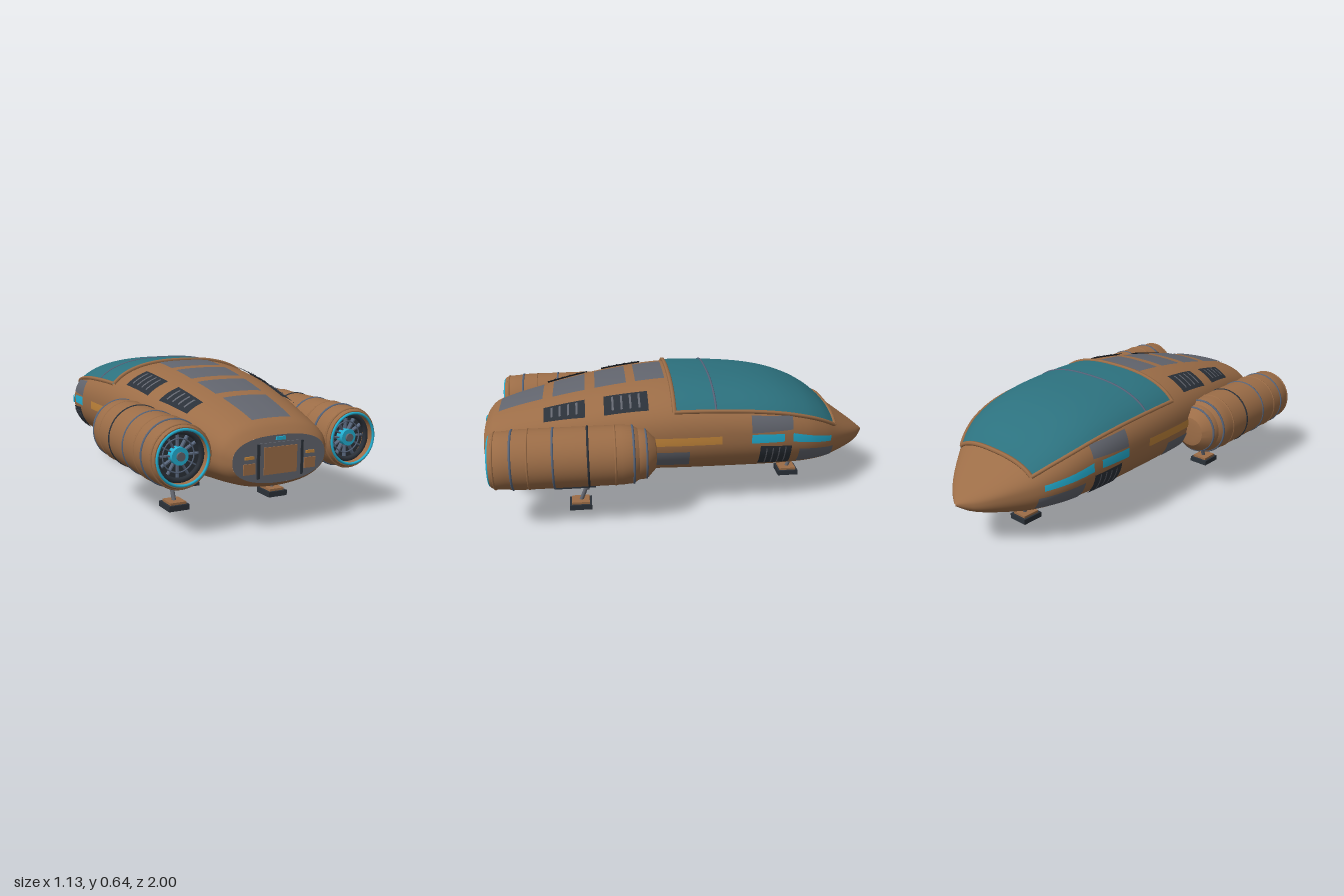
import * as THREE from 'three';
import { toCreasedNormals } from 'three/addons/utils/BufferGeometryUtils.js';

const flat = (name, color, side = THREE.FrontSide) => {
  const m = new THREE.MeshStandardMaterial({ color, side });
  m.name = name;
  return m;
};

// Hull stations: z, half width, height of widest line, top, bottom
const STATIONS = [
  [-1, 0.004, 0.24, 0.245, 0.235], [-0.95, 0.085, 0.25, 0.285, 0.2], [-0.88, 0.165, 0.275, 0.335, 0.175],
  [-0.77, 0.265, 0.305, 0.415, 0.15], [-0.7, 0.315, 0.325, 0.475, 0.14], [-0.6, 0.362, 0.35, 0.532, 0.136],
  [-0.45, 0.395, 0.375, 0.582, 0.135], [-0.25, 0.41, 0.39, 0.612, 0.137], [0.05, 0.411, 0.395, 0.626, 0.14],
  [0.3, 0.39, 0.385, 0.605, 0.145], [0.55, 0.35, 0.365, 0.562, 0.15], [0.8, 0.295, 0.335, 0.503, 0.163],
  [0.92, 0.27, 0.32, 0.465, 0.177], [0.96, 0.255, 0.315, 0.445, 0.187], [0.99, 0.226, 0.31, 0.41, 0.208],
];
const N_TOP = 2.5, N_BOT = 2.25;

// Smooth interpolation of the stations
function section(z) {
  const S = STATIONS, last = S.length - 1;
  let i = 0;
  while (i < last - 1 && z > S[i + 1][0]) i++;
  const slope = (k, c) => {
    const a = S[Math.max(k - 1, 0)], b = S[Math.min(k + 1, last)];
    return (b[c] - a[c]) / (b[0] - a[0]);
  };
  const d = S[i + 1][0] - S[i][0], t = (z - S[i][0]) / d, t2 = t * t, t3 = t2 * t;
  const [w, m, top, bot] = [1, 2, 3, 4].map((c) =>
    S[i][c] * (2 * t3 - 3 * t2 + 1) + slope(i, c) * d * (t3 - 2 * t2 + t) +
    S[i + 1][c] * (3 * t2 - 2 * t3) + slope(i + 1, c) * d * (t3 - t2));
  return { w, m, up: top - m, down: m - bot };
}
const spow = (v, p) => Math.sign(v) * Math.abs(v) ** p;
function ringPoint(z, a) {
  const s = section(z), c = Math.cos(a), n = Math.sin(a);
  const e = 2 / (n >= 0 ? N_TOP : N_BOT);
  return [s.w * spow(c, e), s.m + (n >= 0 ? s.up : s.down) * spow(n, e), z];
}
const arc = (q, n) => Math.max(0, 1 - Math.abs(q) ** n) ** (1 / n);
const onTop = (z, x) => {
  const s = section(z);
  return new THREE.Vector3(x, s.m + s.up * arc(x / s.w, N_TOP), z);
};
const onSide = (side) => (z, y) => {
  const s = section(z), above = y >= s.m;
  return new THREE.Vector3(side * s.w * arc((y - s.m) / (above ? s.up : s.down), above ? N_TOP : N_BOT), y, z);
};
// Hull point pushed outward along the surface normal
function lifted(surf, z, v, h) {
  const e = 0.002, p = surf(z, v);
  const n = surf(z + e, v).sub(surf(z - e, v)).cross(surf(z, v + e).sub(surf(z, v - e))).normalize();
  if (n.dot(new THREE.Vector3(p.x, p.y - 0.3, 0)) < 0) n.negate();
  return p.addScaledVector(n, h);
}
function gridGeometry(rows, cols, point) {
  const pos = [], idx = [];
  for (let i = 0; i <= rows; i++) for (let j = 0; j <= cols; j++) {
    pos.push(...point(i / rows, j / cols));
    if (i < rows && j < cols) {
      const a = i * (cols + 1) + j, d = a + cols + 1;
      idx.push(a, a + 1, d + 1, a, d + 1, d);
    }
  }
  const g = new THREE.BufferGeometry();
  g.setAttribute('position', new THREE.Float32BufferAttribute(pos, 3));
  g.setIndex(idx);
  g.computeVertexNormals();
  return g;
}

export function createModel() {
  const D = THREE.DoubleSide;
  const tan = flat('bronze hull', 0x9c6d47), glass = flat('teal glass', 0x2c717e, D);
  const grey = flat('grey panel', 0x62656e, D), dark = flat('dark metal', 0x2b3139, D);
  const steel = flat('blue steel', 0x56647a), cyan = flat('cyan light', 0x23b0d3, D);
  const orange = flat('orange marking', 0xc2853a, D);
  const model = new THREE.Group();
  const add = (name, geo, mat, parent = model, x = 0, y = 0, z = 0) => {
    const mesh = new THREE.Mesh(geo, mat);
    mesh.name = name;
    mesh.position.set(x, y, z);
    parent.add(mesh);
    return mesh;
  };
  const box = (name, w, h, d, mat, parent, x, y, z) => add(name, new THREE.BoxGeometry(w, h, d), mat, parent, x, y, z);

  // Patch hugging the hull: v runs from a0 to b0 at z0 and from a1 to b1 at z1
  const patch = (name, surf, z0, z1, [a0, b0, a1 = a0, b1 = b0], mat, h = 0.005) =>
    add(name, gridGeometry(12, 12, (u, t) => {
      const a = a0 + (a1 - a0) * u, b = b0 + (b1 - b0) * u;
      return lifted(surf, z0 + (z1 - z0) * u, a + (b - a) * t, h);
    }), mat);
  const rail = (name, pts, r, mat) =>
    add(name, new THREE.TubeGeometry(new THREE.CatmullRomCurve3(pts), 48, r, 6), mat);

  // Hull shell and tail bulkhead
  add('hull', (() => {
    const around = 96, rows = 90, g = gridGeometry(rows, around, (u, t) => ringPoint(-1 + 1.99 * u, t * Math.PI * 2));
    const n = g.attributes.normal;
    for (let i = 0; i <= rows; i++) { // merge normals along the seam
      const a = i * (around + 1), b = a + around;
      const v = new THREE.Vector3().fromBufferAttribute(n, a).add(new THREE.Vector3().fromBufferAttribute(n, b)).normalize();
      n.setXYZ(a, v.x, v.y, v.z);
      n.setXYZ(b, v.x, v.y, v.z);
    }
    return g;
  })(), tan);
  const tailPts = Array.from({ length: 64 }, (_, i) => new THREE.Vector2(...ringPoint(0.99, i / 32 * Math.PI)));
  add('tailBulkhead', new THREE.ShapeGeometry(new THREE.Shape(tailPts)), grey, model, 0, 0, 0.99);

  // Tail doors and lights
  box('doorFrame', 0.2, 0.15, 0.004, grey, model, 0, 0.305, 0.992);
  box('tailDoor', 0.16, 0.115, 0.008, tan, model, 0, 0.305, 0.994);
  box('tailLight', 0.045, 0.014, 0.012, cyan, model, 0, 0.396, 0.992);
  for (const s of [-1, 1]) {
    box('doorGroove', 0.012, 0.145, 0.008, dark, model, s * 0.106, 0.305, 0.993);
    box('sideHatch', 0.055, 0.045, 0.006, tan, model, s * 0.148, 0.278, 0.992);
    box('hatchHandle', 0.042, 0.012, 0.008, orange, model, s * 0.148, 0.325, 0.993);
  }

  // Canopy glass with rims and cross ribs
  const edge = (z) => 0.9 * section(z).w;
  const zFront = -0.755, zBack = 0.068;
  add('canopyGlass', gridGeometry(40, 40, (u, t) => {
    const z = zFront + (zBack - zFront) * u;
    return lifted(onTop, z, edge(z) * (2 * t - 1), 0.005);
  }), glass);
  const rib = (name, z, r, mat) => rail(name, Array.from({ length: 25 }, (_, i) =>
    lifted(onTop, z, edge(z) * (i / 12 - 1), 0.004)), r, mat);
  rib('canopyRearRim', 0.07, 0.011, tan);
  rib('canopyFrontRim', -0.76, 0.011, tan);
  rib('canopyRib', -0.13, 0.006, steel);
  for (const s of [-1, 1]) {
    rail('canopySideRim', Array.from({ length: 25 }, (_, i) => {
      const z = -0.76 + 0.83 * i / 24;
      return lifted(onTop, z, s * edge(z), 0.004);
    }), 0.01, tan);
  }

  // Spine panels
  for (const [z0, z1, h0, h1] of [[0.095, 0.24, 0.138, 0.136], [0.285, 0.44, 0.135, 0.13],
    [0.49, 0.65, 0.127, 0.117], [0.7, 0.92, 0.11, 0.095]]) {
    patch('spinePanel', onTop, z0, z1, [-h0, h0, -h1, h1], grey);
  }

  for (const s of [-1, 1]) {
    // Deck vents with slats
    for (const [z0, z1, a0, b0, a1, b1] of [[0.19, 0.4, 0.245, 0.35, 0.23, 0.33], [0.49, 0.69, 0.22, 0.315, 0.2, 0.275]]) {
      patch('deckVent', onTop, z0, z1, [s * a0, s * b0, s * a1, s * b1], dark, 0.008);
      for (let i = 1; i <= 4; i++) {
        const u = i / 5, z = z0 + (z1 - z0) * u, a = a0 + (a1 - a0) * u, b = b0 + (b1 - b0) * u;
        patch('ventSlat', onTop, z - 0.005, z + 0.005, [s * (a + 0.014), s * (b - 0.014)], grey, 0.011);
      }
    }
    // Side panels, lights and markings
    const flank = onSide(s);
    patch('upperSidePanel', flank, -0.51, -0.3, [0.415, 0.475, 0.415, 0.495], grey);
    patch('noseSidePanel', flank, -0.75, -0.55, [0.215, 0.275, 0.22, 0.31], grey);
    patch('rearSidePanel', flank, 0, 0.17, [0.25, 0.335], grey);
    patch('sideLight', flank, -0.465, -0.3, [0.36, 0.4, 0.365, 0.41], cyan, 0.007);
    patch('noseLight', flank, -0.73, -0.51, [0.31, 0.338, 0.355, 0.398], cyan, 0.007);
    patch('sideStripe', flank, -0.155, 0.165, [0.37, 0.41], orange, 0.006);
    patch('sideVent', flank, -0.505, -0.345, [0.23, 0.335, 0.235, 0.35], dark, 0.008);
    for (let i = 1; i <= 4; i++) {
      const z = -0.505 + 0.032 * i;
      patch('sideVentSlat', flank, z - 0.003, z + 0.003, [0.245, 0.335], grey, 0.011);
    }

    // Engine pod
    const pod = new THREE.Group();
    pod.name = s > 0 ? 'leftEngine' : 'rightEngine';
    pod.position.set(s * 0.418, 0.343, 0);
    model.add(pod);
    const shell = [[0, 0.17], [0.05, 0.165], [0.075, 0.17], [0.112, 0.205], [0.12, 0.22], [0.122, 0.25], [0.138, 0.275],
      [0.142, 0.33], [0.142, 0.8], [0.137, 0.86], [0.134, 0.915], [0.124, 0.935], [0.112, 0.935], [0.108, 0.865]];
    const lathe = new THREE.LatheGeometry(shell.map((p) => new THREE.Vector2(...p)), 48);
    add('podShell', toCreasedNormals(lathe.rotateX(Math.PI / 2), 0.5), tan, pod);
    const ring = (name, z, r, tube, mat) => add(name, new THREE.TorusGeometry(r, tube, 8, 48), mat, pod, 0, 0, z);
    for (const [z, r, mat] of [[0.215, 0.115, steel], [0.275, 0.136, steel], [0.485, 0.14, dark], [0.645, 0.14, steel],
      [0.835, 0.138, steel], [0.36, 0.139, tan], [0.76, 0.139, tan], [0.915, 0.131, tan]]) {
      ring('podBand', z, r, 0.006, mat);
    }
    ring('exhaustGlowRing', 0.937, 0.114, 0.006, cyan);
    ring('exhaustLiner', 0.9, 0.1, 0.012, dark);
    ring('fanRing', 0.892, 0.07, 0.003, steel);
    const disc = (name, r, z, depth, mat) =>
      add(name, new THREE.CylinderGeometry(r, r, depth, 32).rotateX(Math.PI / 2), mat, pod, 0, 0, z);
    disc('exhaustBack', 0.11, 0.865, 0.01, dark);
    disc('fanGlow', 0.037, 0.89, 0.04, cyan);
    disc('fanHub', 0.018, 0.9, 0.04, grey);
    for (let i = 0; i < 12; i++) {
      const blade = new THREE.BoxGeometry(0.065, 0.006, 0.02).translate(0.066, 0, 0).rotateZ(i * Math.PI / 6);
      add('fanBlade', blade, steel, pod, 0, 0, 0.882);
    }
    box('enginePylon', 0.06, 0.06, 0.4, dark, model, s * 0.3, 0.27, 0.55);
  }

  // Landing gear: foot, tilted two-stage strut and mounting plate
  const UP = new THREE.Vector3(0, 1, 0);
  for (const [x, z, lean, top] of [[0, -0.592, -0.04, 0.15], [-0.265, 0.535, -0.045, 0.2], [0.265, 0.535, -0.045, 0.2]]) {
    const gear = new THREE.Group();
    gear.name = 'landingGear';
    gear.position.set(x, 0, z);
    model.add(gear);
    const strut = (name, y0, y1, r, mat) => {
      const at = (y) => new THREE.Vector3(0, y, lean * (y - 0.03) / 0.11);
      const a = at(y0), b = at(y1), dir = b.clone().sub(a);
      const m = add(name, new THREE.CylinderGeometry(r, r, dir.length(), 16), mat, gear);
      m.position.copy(a).add(b).multiplyScalar(0.5);
      m.quaternion.setFromUnitVectors(UP, dir.normalize());
    };
    box('footPad', 0.102, 0.026, 0.11, dark, gear, 0, 0.017, 0);
    box('footCap', 0.08, 0.012, 0.088, tan, gear, 0, 0.035, 0);
    strut('lowerStrut', 0.035, 0.12, 0.01, grey);
    strut('upperStrut', 0.1, top, 0.018, grey);
    box('gearPlate', 0.134, 0.016, 0.2, dark, gear, 0, 0.141, lean * 0.5 + 0.045);
  }
  return model;
}
